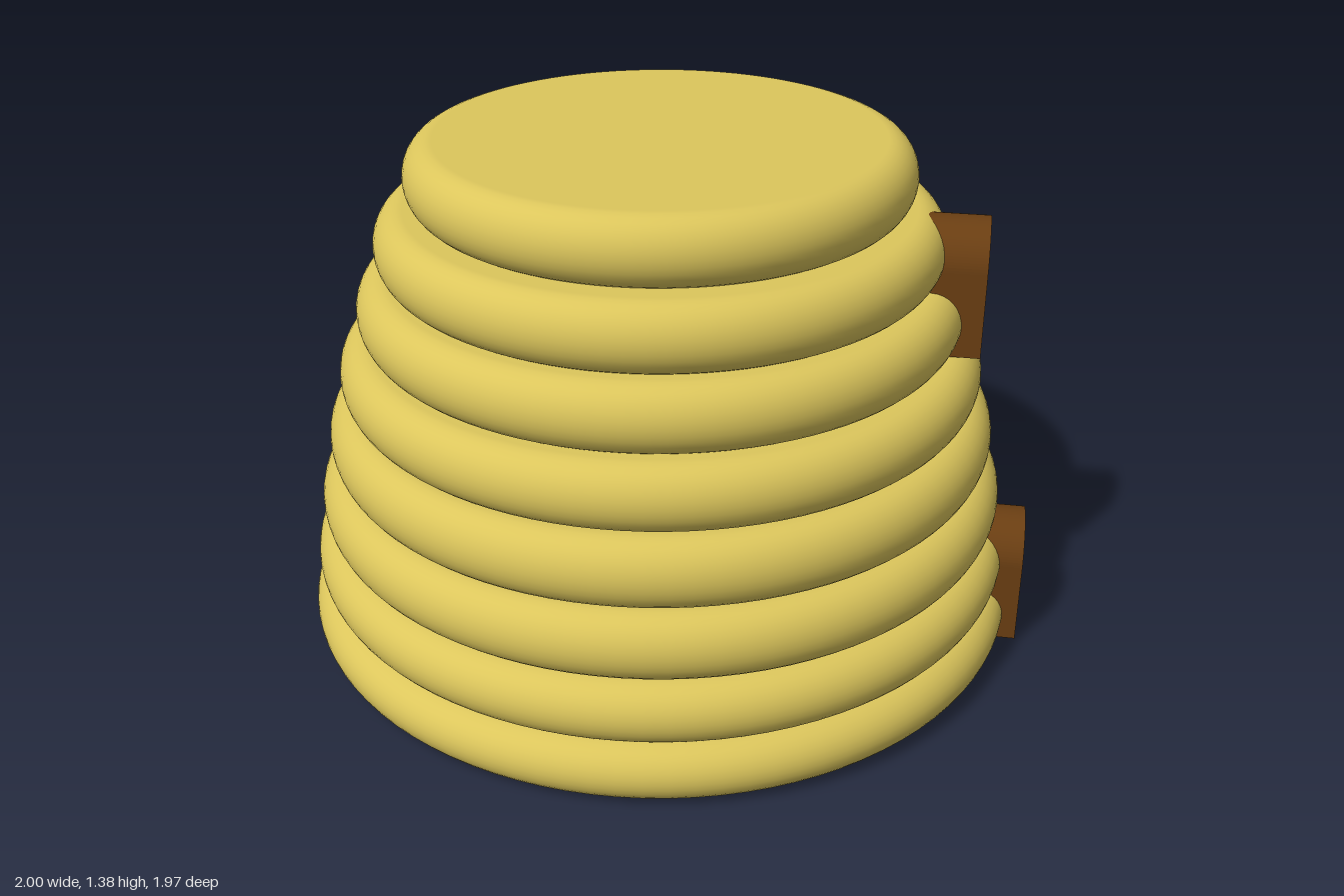
import * as THREE from 'three';

const straw = new THREE.MeshStandardMaterial({ color: 0xdcc65c });
straw.name = 'straw yellow';
const wood = new THREE.MeshStandardMaterial({ color: 0x6a3e12 });
wood.name = 'dark brown wood';

// One coil of the hive: a solid disc with a fully rounded rim
function coilGeometry(radius, y0, y1) {
  const half = (y1 - y0) / 2, bulge = 0.08, steps = 16;
  const points = [new THREE.Vector2(0, y0)];
  for (let i = 0; i <= steps; i++) {
    const a = -Math.PI / 2 + (Math.PI * i) / steps;
    points.push(new THREE.Vector2(radius - bulge + bulge * Math.cos(a), (y0 + y1) / 2 + half * Math.sin(a)));
  }
  points.push(new THREE.Vector2(0, y1));
  return new THREE.LatheGeometry(points, 96);
}

// Round-topped outline standing on y = bottom
function arch(PathType, r, bottom, springY) {
  const p = new PathType();
  p.moveTo(-r, bottom);
  p.lineTo(r, bottom);
  p.lineTo(r, springY);
  p.absarc(0, springY, r, 0, Math.PI, false);
  p.closePath();
  return p;
}

// Doorway facing +x: a solid block with a raised frame around a recessed panel
function createDoor(name, frontX, y) {
  const door = new THREE.Group();
  door.name = name;
  const r = 0.113, spring = 0.23, rim = 0.025, recess = 0.02, depth = 0.24;
  const options = { bevelEnabled: false, curveSegments: 24 };

  const block = new THREE.ExtrudeGeometry(arch(THREE.Shape, r, 0, spring), { ...options, depth: depth - recess });
  block.translate(0, 0, -depth);
  const frameShape = arch(THREE.Shape, r, 0, spring);
  frameShape.holes.push(arch(THREE.Path, r - rim, rim * 0.8, spring));
  const frame = new THREE.ExtrudeGeometry(frameShape, { ...options, depth: recess });
  frame.translate(0, 0, -recess);

  for (const [part, geometry] of [['doorPanel', block], ['doorFrame', frame]]) {
    const mesh = new THREE.Mesh(geometry, wood);
    mesh.name = part;
    door.add(mesh);
  }
  door.rotation.y = Math.PI / 2;
  door.position.set(frontX, y, 0);
  return door;
}

export function createModel() {
  const model = new THREE.Group();
  model.name = 'beehive';

  // Stacked coils, widest at the bottom
  const radii = [0.983, 0.963, 0.937, 0.903, 0.862, 0.806, 0.75, 0.664];
  const levels = [0, 0.16, 0.323, 0.5, 0.682, 0.855, 1.03, 1.205, 1.38];
  const hive = new THREE.Group();
  hive.name = 'hiveBody';
  hive.position.x = -0.017;
  radii.forEach((radius, i) => {
    const overlap = i > 0 ? 0.008 : 0;
    const coil = new THREE.Mesh(coilGeometry(radius, levels[i] - overlap, levels[i + 1]), straw);
    coil.name = `coil${i + 1}`;
    hive.add(coil);
  });
  model.add(hive);

  // Two doorways on the left side
  model.add(createDoor('lowerDoor', 1.0, 0.01), createDoor('upperDoor', 0.835, 0.857));
  return model;
}
